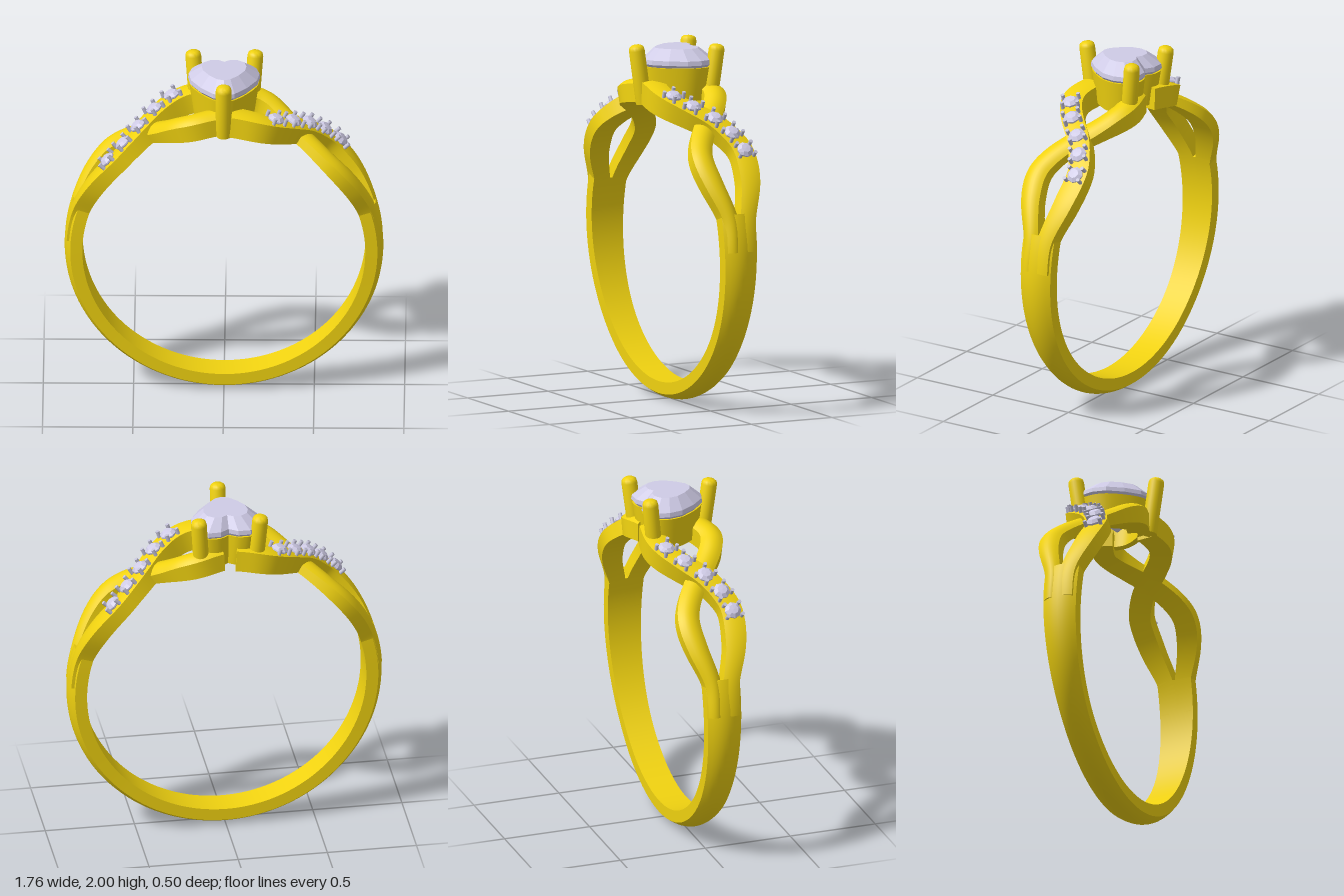
import * as THREE from 'three';
import { toCreasedNormals } from 'three/addons/utils/BufferGeometryUtils.js';

const CY = 0.887, INNER = 0.783, RAD = Math.PI / 180;
const gold = new THREE.MeshStandardMaterial({ color: 0xf0d210 });
const silver = new THREE.MeshStandardMaterial({ color: 0xc4c2d8 });
const stone = new THREE.MeshStandardMaterial({ color: 0xcfcbe6, flatShading: true });

function add(parent, name, geometry, material) {
  const mesh = new THREE.Mesh(geometry, material);
  mesh.name = name;
  parent.add(mesh);
  return mesh;
}

// Skin a list of equal point loops, optionally capping both ends.
function loft(rings, caps = true) {
  const n = rings[0].length, idx = [], last = (rings.length - 1) * n;
  for (let i = 0; i < rings.length - 1; i++) {
    for (let j = 0; j < n; j++) {
      const a = i * n + j, b = i * n + (j + 1) % n;
      idx.push(a, a + n, b, b, a + n, b + n);
    }
  }
  if (caps) {
    for (let j = 1; j < n - 1; j++) idx.push(0, j, j + 1, last, last + j + 1, last + j);
  }
  const g = new THREE.BufferGeometry().setFromPoints(rings.flat());
  g.setIndex(idx);
  g.computeVertexNormals();
  return g;
}

// Curves hold (angle from the top, z, outer radius).
const pathCurve = keys =>
  new THREE.CatmullRomCurve3(keys.map(([a, z, r]) => new THREE.Vector3(a * RAD, z, r)), false, 'catmullrom');

function frameAt(curve, t) {
  const onRing = v => new THREE.Vector3(INNER * Math.sin(v.x), CY + INNER * Math.cos(v.x), v.y);
  const v = curve.getPoint(t);
  const T = onRing(curve.getPoint(Math.min(1, t + 0.001)))
    .sub(onRing(curve.getPoint(Math.max(0, t - 0.001)))).normalize();
  const R = new THREE.Vector3(Math.sin(v.x), Math.cos(v.x), 0);
  const S = new THREE.Vector3().crossVectors(T, R).normalize();
  return { P: onRing(v), T, R, S, angle: v.x / RAD, depth: v.z - INNER };
}

// Bar with a flat inside and a domed outside, swept round the ring.
function bar(curve, steps, halfWidth, dome) {
  const rings = [];
  for (let i = 0; i <= steps; i++) {
    const f = frameAt(curve, i / steps), h = halfWidth(f.angle);
    const section = [[-h, 0], [h, 0]];
    for (let k = 0; k <= 8; k++) {
      const u = 1 - k / 4;
      section.push([u * h, f.depth - dome * u * u]);
    }
    rings.push(section.map(([s, r]) => f.P.clone().addScaledVector(f.S, s).addScaledVector(f.R, r)));
  }
  return toCreasedNormals(loft(rings), 0.5);
}

// Heart outline, counter-clockwise from above, starting at the notch.
const heartHalf = [[0, 0.18], [0.05, 0.212], [0.12, 0.213], [0.18, 0.17], [0.2, 0.1],
  [0.187, 0.02], [0.13, -0.07], [0.06, -0.14], [0, -0.16]];
const heartPoints = [...heartHalf.map(([x, y]) => [-x, y]), ...heartHalf.slice(1, -1).reverse()];
const heartRing = (points, scale, y) =>
  points.map(([x, d]) => new THREE.Vector3(x * scale, y, -(0.03 + (d - 0.03) * scale)));

function smoothHeart() {
  const half = new THREE.SplineCurve(heartHalf.map(p => new THREE.Vector2(...p))).getPoints(24).map(p => [p.x, p.y]);
  return [...half.map(([x, y]) => [-x, y]), ...half.slice(1, -1).reverse()];
}

const lathe = (pts, n) => new THREE.LatheGeometry(pts.map(p => new THREE.Vector2(...p)), n);

// Crossing strands of one shoulder; the other is this one turned half round.
const gemPath = pathCurve([[86, -0.055, 0.88], [74, -0.063, 0.882], [60, -0.12, 0.88], [47.4, -0.14, 0.872],
  [39.4, -0.105, 0.876], [32.2, -0.04, 0.887], [25.4, 0.05, 0.897], [18.6, 0.122, 0.905],
  [12, 0.148, 0.912], [3, 0.13, 0.915]]);
const plainPath = pathCurve([[86, 0.03, 0.88], [74, 0.036, 0.882], [60, 0.095, 0.88], [50, 0.115, 0.875],
  [42, 0.085, 0.865], [32, 0, 0.86], [24, -0.09, 0.875], [17, -0.155, 0.9],
  [11, -0.175, 0.91], [3, -0.145, 0.912]]);

function shoulder() {
  const g = new THREE.Group();
  g.name = 'shoulder';
  const half = a => 0.062 - 0.016 * THREE.MathUtils.smoothstep(a, 52, 76);
  add(g, 'gemStrand', bar(gemPath, 64, half, 0.008), gold);
  add(g, 'plainStrand', bar(plainPath, 64, half, 0.026), gold);

  const cut = lathe([[0, -0.05], [0.048, 0], [0.048, 0.008], [0.028, 0.024], [0, 0.026]], 8);
  const claw = new THREE.CylinderGeometry(0.011, 0.011, 0.05, 10);
  for (let key = 3; key <= 7; key++) {
    const f = frameAt(gemPath, key / 9);
    const setting = new THREE.Group();
    setting.name = 'smallSetting';
    setting.applyMatrix4(new THREE.Matrix4().makeBasis(f.T, f.R, f.S)
      .setPosition(f.P.clone().addScaledVector(f.R, f.depth)));
    add(setting, 'smallStone', cut, stone).position.y = 0.003;
    for (const a of [-1, 1]) {
      for (const b of [-1, 1]) add(setting, 'smallClaw', claw, silver).position.set(a * 0.036, 0.008, b * 0.043);
    }
    g.add(setting);
  }
  return g;
}

export function createModel() {
  const ring = new THREE.Group();
  ring.name = 'ring';

  // Lower band, widening towards the split
  const bandKeys = [];
  for (let a = 72; a <= 288; a += 12) bandKeys.push([a, -0.012, 0.882]);
  const bandHalf = a => 0.08 + 0.021 * THREE.MathUtils.smoothstep(Math.abs(180 - a), 40, 108);
  add(ring, 'band', bar(pathCurve(bandKeys), 108, bandHalf, 0.032), gold);

  // Shoulders
  ring.add(shoulder());
  const other = shoulder();
  other.rotation.y = Math.PI;
  other.position.z = -0.03;
  ring.add(other);

  // Open heart cup
  const outline = smoothHeart();
  const cup = [[0.97, 1.875], [0.84, 1.69], [0.62, 1.69], [0.84, 1.875], [0.97, 1.875]];
  add(ring, 'heartCup', toCreasedNormals(loft(cup.map(([s, y]) => heartRing(outline, s, y)), false), 0.6), gold);

  // Heart stone: table, crown, girdle and pavilion
  const cutRings = [[0.62, 1.975], [0.98, 1.915], [1, 1.89], [0.8, 1.85], [0.05, 1.72]];
  add(ring, 'heartStone', loft(cutRings.map(([s, y]) => heartRing(heartPoints, s, y))), stone);

  // Prongs leaning slightly outwards
  const up = new THREE.Vector3(0, 1, 0);
  for (const [bottom, top] of [
    [[0, 1.67, 0.16], [0, 2, 0.208]],
    [[0.15, 1.67, -0.17], [0.174, 2, -0.208]],
    [[-0.15, 1.67, -0.17], [-0.174, 2, -0.208]],
  ]) {
    const from = new THREE.Vector3(...bottom), axis = new THREE.Vector3(...top).sub(from);
    const L = axis.length(), r = 0.044;
    const profile = [[0, 0], [r, 0], [r, L - 0.03], [r * 0.9, L - 0.013], [r * 0.6, L - 0.003], [0, L]];
    const prong = add(ring, 'prong', toCreasedNormals(lathe(profile, 24), 0.7), gold);
    prong.position.copy(from);
    prong.quaternion.setFromUnitVectors(up, axis.normalize());
  }
  return ring;
}
